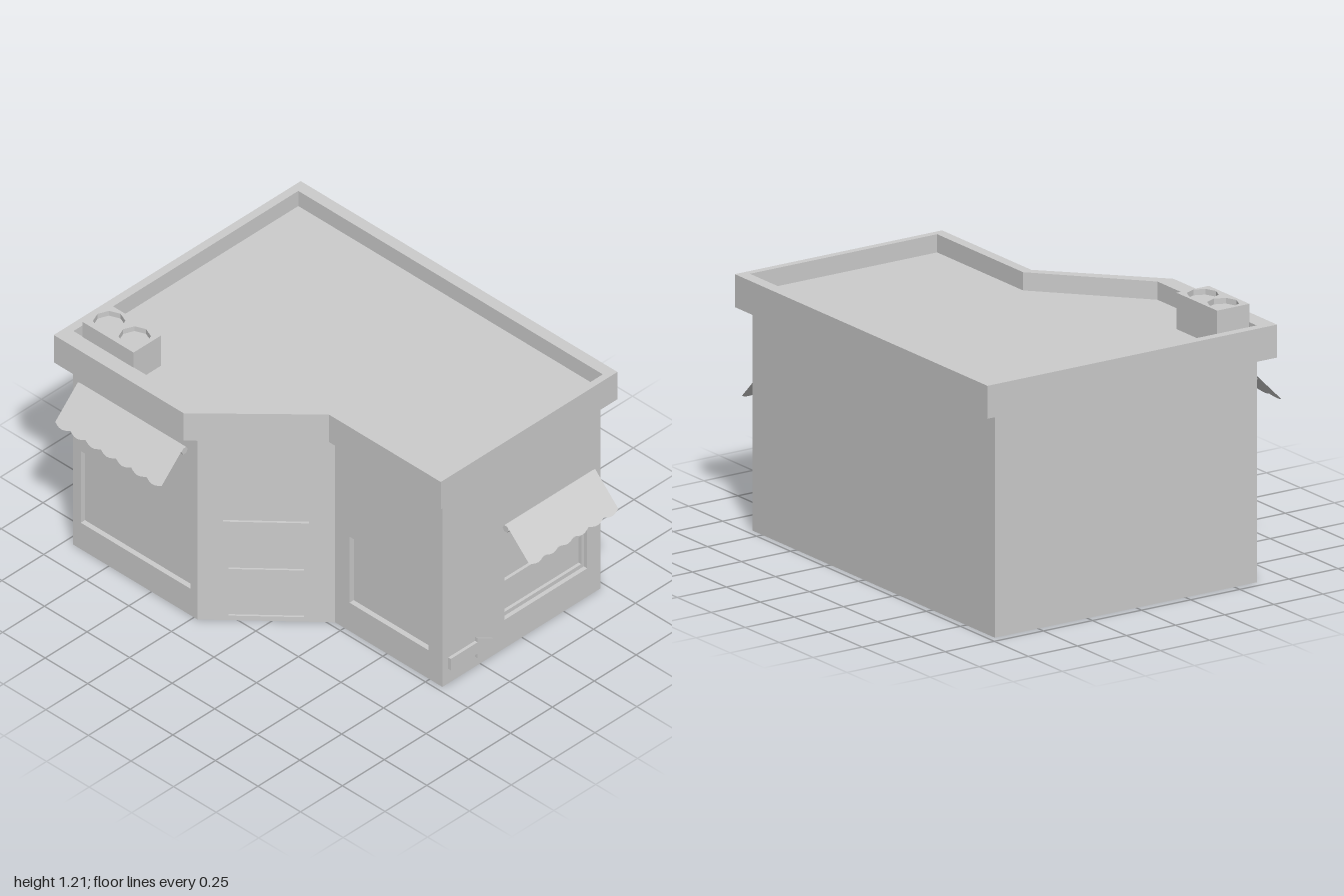
import * as THREE from 'three';

const material = new THREE.MeshStandardMaterial({ color: 0xcccccc, side: THREE.DoubleSide, flatShading: true });
const WALL_TOP = 0.985, ROOF = 1.05, PARAPET_TOP = 1.13;

function add(parent, name, geometry, x = 0, y = 0, z = 0) {
  const mesh = new THREE.Mesh(geometry, material);
  mesh.name = name;
  mesh.position.set(x, y, z);
  parent.add(mesh);
  return mesh;
}

const toPoints = (list) => list.map(([x, y]) => new THREE.Vector2(x, y));
const rectangle = ([x0, x1, y0, y1]) => toPoints([[x0, y0], [x1, y0], [x1, y1], [x0, y1]]);

function shapeWithHoles(outline, holes = []) {
  const shape = new THREE.Shape(outline);
  shape.holes = holes.map((h) => new THREE.Path(h));
  return shape;
}

// Extrudes a floor-plan outline of [x, z] points upwards
function extrudePlan(outline, holes, height) {
  const flip = (list) => toPoints(list.map(([x, z]) => [x, -z]));
  const shape = shapeWithHoles(flip(outline), holes.map(flip));
  return new THREE.ExtrudeGeometry(shape, { depth: height, bevelEnabled: false }).rotateX(-Math.PI / 2);
}

// Shallow tray, open towards the outside, set back from depth z
function addRecess(parent, name, [x0, x1, y0, y1], depth, z = 0) {
  const geometry = new THREE.BoxGeometry(x1 - x0, y1 - y0, depth);
  const index = Array.from(geometry.index.array);
  index.splice(24, 6);
  geometry.setIndex(index);
  add(parent, name, geometry, (x0 + x1) / 2, (y0 + y1) / 2, z - depth / 2);
}

// Frame with two openings, each holding a recessed pane
function addSashes(parent, name, outer, panes, depth, z) {
  add(parent, name + 'Frame', new THREE.ShapeGeometry(shapeWithHoles(rectangle(outer), panes.map(rectangle))), 0, 0, z);
  panes.forEach((pane) => addRecess(parent, name + 'Pane', pane, depth, z));
}

// Sloping sheet with a scalloped lower edge, hung over a hexagonal rod
function addAwning(parent, x0, x1, y, scallops) {
  const awning = new THREE.Group();
  awning.name = 'awning';
  awning.position.set(x0, y, 0.022);
  const width = x1 - x0, steps = scallops * 6;
  const outline = [[0, 0]];
  for (let i = 0; i <= steps; i++) {
    const t = i / steps;
    outline.push([t * width, -0.192 - 0.014 * Math.abs(Math.sin(t * scallops * Math.PI))]);
  }
  outline.push([width, 0]);
  add(awning, 'awningSheet', new THREE.ShapeGeometry(new THREE.Shape(toPoints(outline))).rotateX(-Math.PI / 4));
  add(awning, 'awningRod', new THREE.CylinderGeometry(0.018, 0.018, width, 6).rotateZ(Math.PI / 2), width / 2, -0.025, -0.002);
  parent.add(awning);
}

export function createModel() {
  const model = new THREE.Group();
  model.name = 'cornerShop';

  // Footprint with a cut corner, anticlockwise seen from above
  const plan = [[-0.96, 0.615], [-0.23, 0.615], [0.195, 0.225], [0.825, 0.225], [0.825, -0.72], [-0.96, -0.72]];
  const names = ['frontWall', 'entranceWall', 'frontSideWall', 'leftWall', 'backWall', 'rightWall'];
  const openings = { 0: [0.045, 0.69, 0.14, 0.52], 2: [0.085, 0.55, 0.15, 0.5], 3: [0.37, 0.865, 0.15, 0.53] };

  // Each wall group has x along the wall and z pointing outwards
  const walls = plan.map(([x, z], i) => {
    const [nx, nz] = plan[(i + 1) % plan.length];
    const group = new THREE.Group();
    group.name = names[i];
    group.position.set(x, 0, z);
    group.rotation.y = Math.atan2(z - nz, nx - x);
    const length = Math.hypot(nx - x, nz - z);
    const holes = openings[i] ? [rectangle(openings[i])] : [];
    add(group, names[i] + 'Surface', new THREE.ShapeGeometry(shapeWithHoles(rectangle([0, length, 0, WALL_TOP]), holes)));
    model.add(group);
    return group;
  });

  // Shop windows
  addRecess(walls[0], 'shopWindow', openings[0], 0.025);
  addRecess(walls[2], 'shopWindow', openings[2], 0.025);

  // Side window with two sashes
  const side = openings[3];
  addRecess(walls[3], 'sideWindowRecess', side, 0.04);
  addSashes(walls[3], 'sideWindow', side, [[0.385, 0.85, 0.17, 0.32], [0.385, 0.85, 0.335, 0.515]], 0.015, -0.02);

  // Door standing slightly proud of the cut corner
  const door = [0.108, 0.468, 0.02, 0.53];
  addSashes(walls[1], 'door', door, [[0.13, 0.446, 0.033, 0.262], [0.13, 0.446, 0.28, 0.515]], 0.01, 0.012);
  const rim = shapeWithHoles(rectangle(door), [rectangle([0.13, 0.446, 0.033, 0.515])]);
  add(walls[1], 'doorRim', new THREE.ExtrudeGeometry(rim, { depth: 0.0115, bevelEnabled: false }));

  // Awnings
  addAwning(walls[0], 0.05, 0.675, 0.9, 7);
  addAwning(walls[3], 0.358, 0.89, 0.675, 6);

  // Raised direction arrow
  const arrow = new THREE.Shape(toPoints([[0.035, 0.077], [0.195, 0.077], [0.195, 0.052],
    [0.29, 0.105], [0.195, 0.158], [0.195, 0.137], [0.035, 0.137]]));
  add(walls[3], 'arrowSign', new THREE.ExtrudeGeometry(arrow, { depth: 0.015, bevelEnabled: false }));

  // Overhanging parapet and sunken roof
  const outer = [[-1, 0.69], [-0.237, 0.69], [0.203, 0.27], [0.86, 0.27], [0.86, -0.785], [-1, -0.785]];
  const inner = [[-0.96, 0.613], [-0.23, 0.613], [0.195, 0.223], [0.828, 0.223], [0.828, -0.73], [-0.96, -0.73]];
  add(model, 'parapet', extrudePlan(outer, [inner], PARAPET_TOP - WALL_TOP), 0, WALL_TOP, 0);
  add(model, 'roof', extrudePlan(inner, [], ROOF - WALL_TOP), 0, WALL_TOP, 0);

  // Rooftop cooling unit with two octagonal fan wells
  const unit = [[-0.905, 0.615], [-0.605, 0.615], [-0.605, 0.45], [-0.905, 0.45]];
  const wells = [-0.83, -0.68].map((cx) => Array.from({ length: 8 }, (_, i) => {
    const a = i * Math.PI / 4;
    return [cx + 0.068 * Math.cos(a), 0.532 + 0.068 * Math.sin(a)];
  }));
  add(model, 'coolingUnitBase', extrudePlan(unit, [], 0.135), 0, ROOF, 0);
  add(model, 'coolingUnitTop', extrudePlan(unit, wells, 0.025), 0, ROOF + 0.135, 0);

  return model;
}
